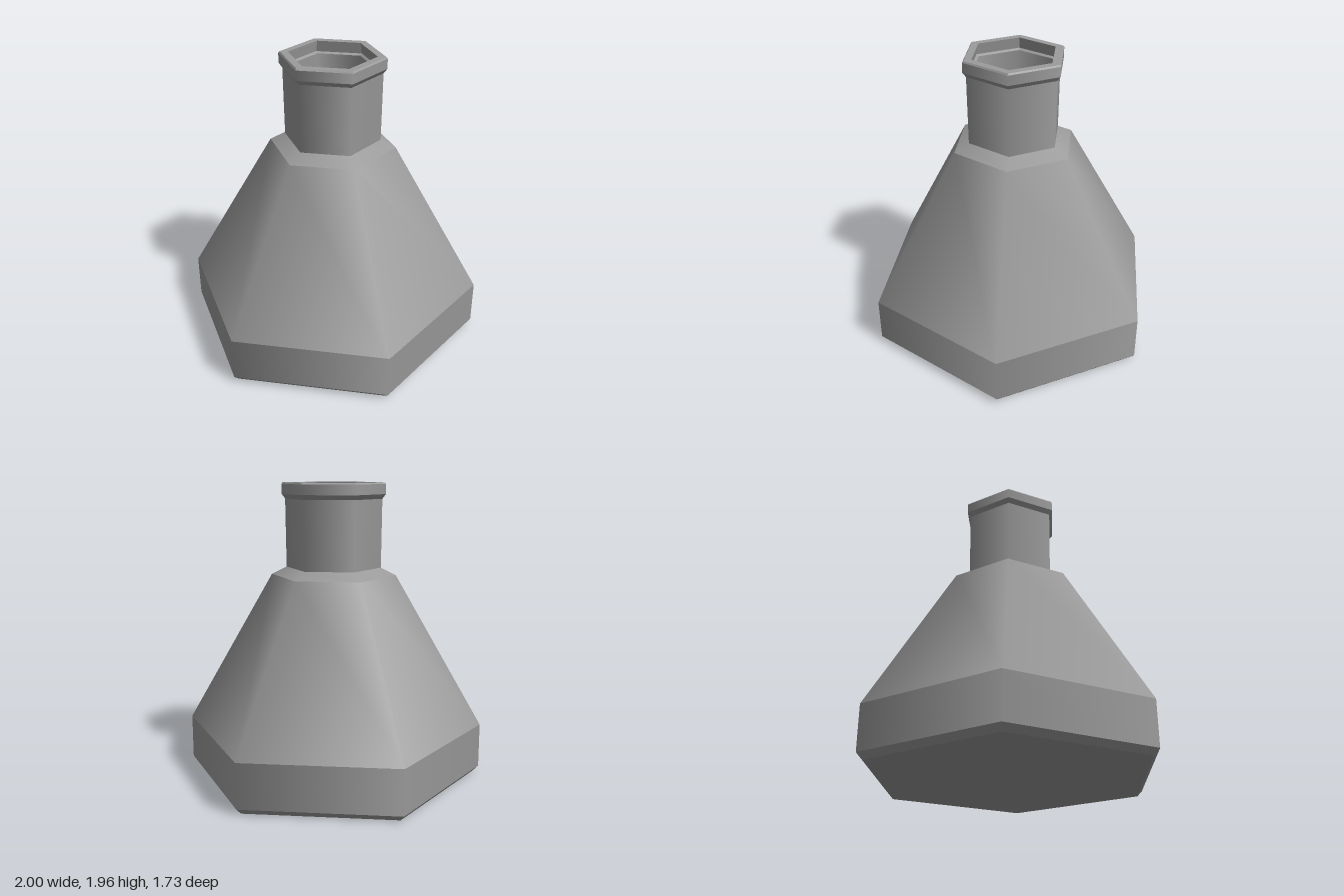
import * as THREE from 'three';
import { mergeGeometries } from 'three/addons/utils/BufferGeometryUtils.js';

const SIDES = 6;

// Hexagonal ring between two [radius, height] points; going up faces outward, going down faces inward
function band(a, b, flat) {
  const points = [new THREE.Vector2(...a), new THREE.Vector2(...b)];
  const geometry = new THREE.LatheGeometry(points, SIDES, Math.PI / 2).toNonIndexed();
  if (flat) geometry.computeVertexNormals();
  else geometry.normalizeNormals();
  return geometry;
}

// Bands stay creased against each other, smooth (or faceted) around the axis
function shell(name, profile, material, flat = false) {
  const bands = profile.slice(1).map((p, i) => band(profile[i], p, flat));
  const mesh = new THREE.Mesh(mergeGeometries(bands), material);
  mesh.name = name;
  return mesh;
}

export function createModel() {
  const group = new THREE.Group();
  group.name = 'flask';
  const grey = new THREE.MeshStandardMaterial({ color: 0x9c9c9c });

  group.add(
    // Underside and its bevelled edge
    shell('bottom', [[0, 0], [0.96, 0]], grey),
    shell('bottomBevel', [[0.96, 0], [1, 0.04]], grey, true),
    // Upright base, sloping body and shoulder
    shell('body', [[1, 0.04], [1, 0.335], [0.415, 1.35], [0.315, 1.4]], grey),
    shell('neck', [[0.315, 1.4], [0.32, 1.85]], grey),
    // Rolled lip around the mouth, with a faceted top edge
    shell('lip', [[0.32, 1.85], [0.343, 1.88], [0.343, 1.945]], grey),
    shell('lipTop', [[0.343, 1.945], [0.335, 1.955], [0.282, 1.955]], grey, true),
    // Inside of the lip, undercut down to a small ledge
    shell('mouth', [[0.282, 1.955], [0.3, 1.88], [0.282, 1.87]], grey, true),
    // Hollow inside
    shell('interior', [[0.282, 1.87], [0.282, 1.38], [0.385, 1.33], [0.965, 0.325], [0.965, 0.05], [0, 0.05]], grey),
  );
  return group;
}
